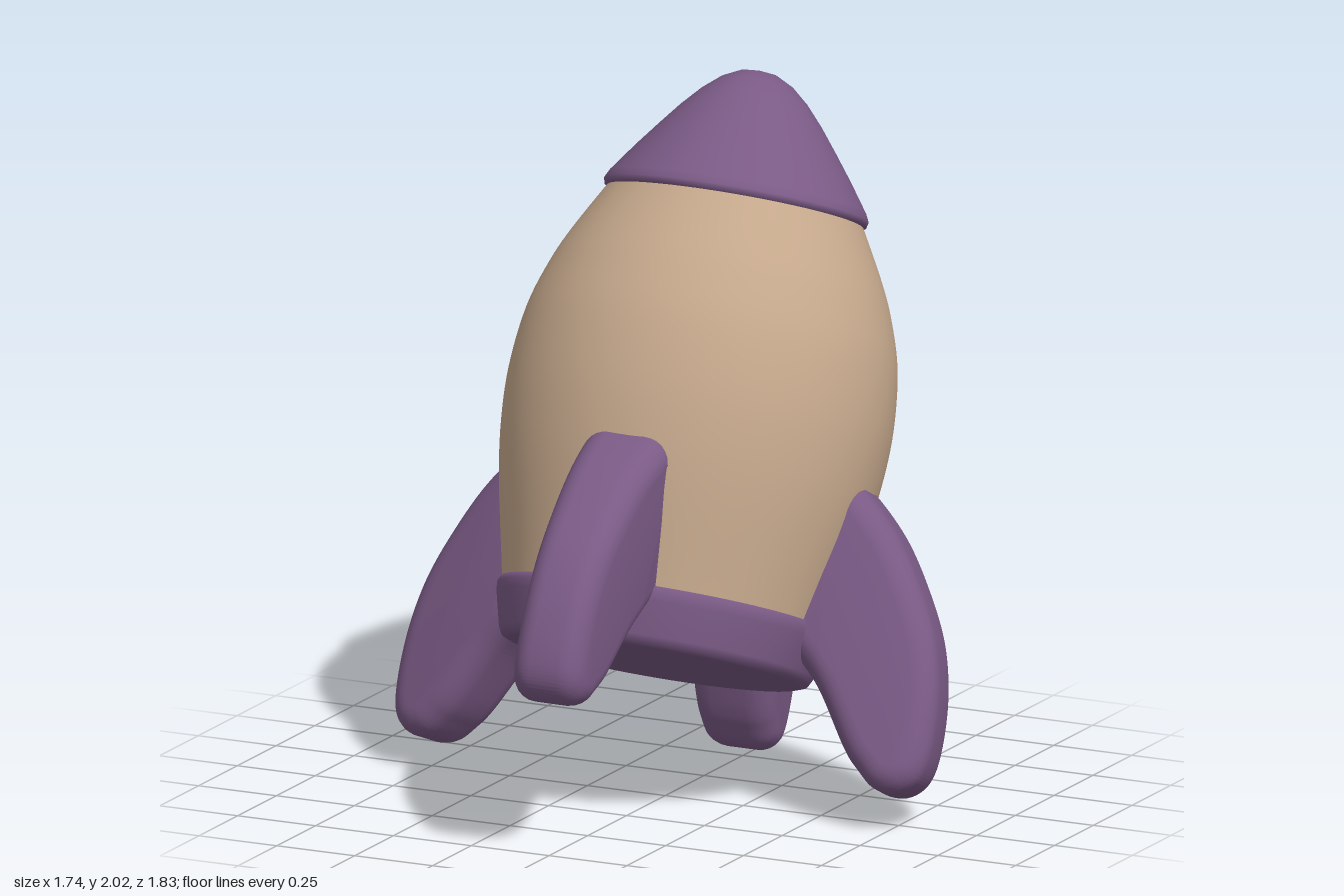
import * as THREE from 'three';
import { toCreasedNormals } from 'three/addons/utils/BufferGeometryUtils.js';

const rad = THREE.MathUtils.degToRad;
const material = (name, color) => {
  const m = new THREE.MeshStandardMaterial({ color });
  m.name = name;
  return m;
};

// Revolve a profile, optionally smoothing it with a spline
function turned(name, points, mat, smooth = 0) {
  let profile = points.map(([r, y]) => new THREE.Vector2(r, y));
  if (smooth) profile = new THREE.SplineCurve(profile).getPoints(smooth);
  profile.forEach(p => { p.x = Math.max(p.x, 0); });
  const mesh = new THREE.Mesh(new THREE.LatheGeometry(profile, 64), mat);
  mesh.name = name;
  return mesh;
}

// Swept-back fin with pillowed edges, thinner toward its tip
function finGeometry() {
  const outer = [[0.52, 0.59], [0.64, 0.48], [0.735, 0.345], [0.81, 0.2], [0.848, 0.05], [0.855, -0.1],
    [0.835, -0.19], [0.78, -0.235], [0.71, -0.232], [0.655, -0.19], [0.605, -0.135], [0.505, 0.014], [0.42, 0.1]];
  const shape = new THREE.Shape();
  shape.moveTo(0.3, 0.1);
  shape.lineTo(0.3, 0.58);
  shape.lineTo(0.45, 0.61);
  shape.splineThru(outer.map(([x, y]) => new THREE.Vector2(x, y)));
  shape.closePath();
  const geo = new THREE.ExtrudeGeometry(shape, {
    depth: 0.11, bevelEnabled: true, bevelThickness: 0.08, bevelSize: 0.07,
    bevelOffset: -0.07, bevelSegments: 6, curveSegments: 40,
  });
  geo.translate(0, 0, -0.055);
  const p = geo.attributes.position;
  for (let i = 0; i < p.count; i++) {
    const t = THREE.MathUtils.clamp((p.getX(i) - 0.5) / 0.35, 0, 1);
    p.setZ(i, p.getZ(i) * (1 - 0.22 * t));
  }
  return toCreasedNormals(geo, 0.9);
}

export function createModel() {
  const cream = material('tan hull', 0xc4a78b);
  const purple = material('purple trim', 0x7a5a85);
  const gold = material('gold frame', 0xb9853f);
  const glass = material('blue glass', 0x7a9fae);

  const model = new THREE.Group();
  model.name = 'rocket';

  // Whole rocket leans backward about its base
  const rocket = new THREE.Group();
  rocket.name = 'tiltedRocket';
  rocket.position.set(-0.012, 0.387, 0.0475);
  rocket.rotation.x = rad(-23);
  model.add(rocket);

  // Hull, base band and nose, slightly flattened front to back
  const hull = new THREE.Group();
  hull.name = 'hull';
  hull.scale.z = 0.945;
  hull.add(
    turned('body', [[0.46, 0.08], [0.485, 0.2], [0.538, 0.45], [0.562, 0.62], [0.567, 0.78],
      [0.548, 0.95], [0.505, 1.09], [0.455, 1.2], [0.36, 1.37]], cream, 40),
    turned('baseBand', [[0, 0], [0.43, 0], [0.452, 0.008], [0.463, 0.03], [0.488, 0.13],
      [0.491, 0.155], [0.485, 0.172], [0.45, 0.178]], purple),
    turned('noseCone', [[0, 1.335], [0.37, 1.335], [0.386, 1.342], [0.39, 1.358], [0.378, 1.382],
      [0.318, 1.465], [0.26, 1.54], [0.208, 1.605], [0.156, 1.662], [0.105, 1.705],
      [0.053, 1.731], [0, 1.738]], purple),
  );
  rocket.add(hull);

  // Four fins: [name, heading, radial scale, height scale]
  const fin = finGeometry();
  const fins = [
    ['frontFin', -86, 1, 1],
    ['leftFin', 9, 1.03, 1.05],
    ['backFin', 91.5, 0.94, 0.87],
    ['rightFin', 166, 1.03, 1.05],
  ];
  for (const [name, heading, sx, sy] of fins) {
    const mesh = new THREE.Mesh(fin, purple);
    mesh.name = name;
    mesh.rotation.y = rad(heading);
    mesh.scale.set(sx, sy, 1);
    mesh.position.y = 0.59 * (1 - sy);
    rocket.add(mesh);
  }

  // Round porthole on the back: frame and domed glass
  const porthole = new THREE.Group();
  porthole.name = 'porthole';
  porthole.rotation.order = 'YXZ';
  porthole.rotation.set(rad(-11), rad(197), 0);
  porthole.position.set(-0.155, 1.01, -0.485);
  const ring = turned('portholeFrame', [[0.262, -0.14], [0.268, 0], [0.27, 0.025], [0.263, 0.05],
    [0.245, 0.066], [0.225, 0.07], [0.205, 0.064], [0.19, 0.05], [0.184, 0.02], [0.184, -0.02]], gold);
  const pane = turned('portholeGlass', [[0.19, 0.024], [0.14, 0.036], [0.07, 0.044], [0, 0.047]], glass, 12);
  for (const part of [ring, pane]) {
    part.rotation.x = Math.PI / 2;
    porthole.add(part);
  }
  rocket.add(porthole);

  return model;
}
